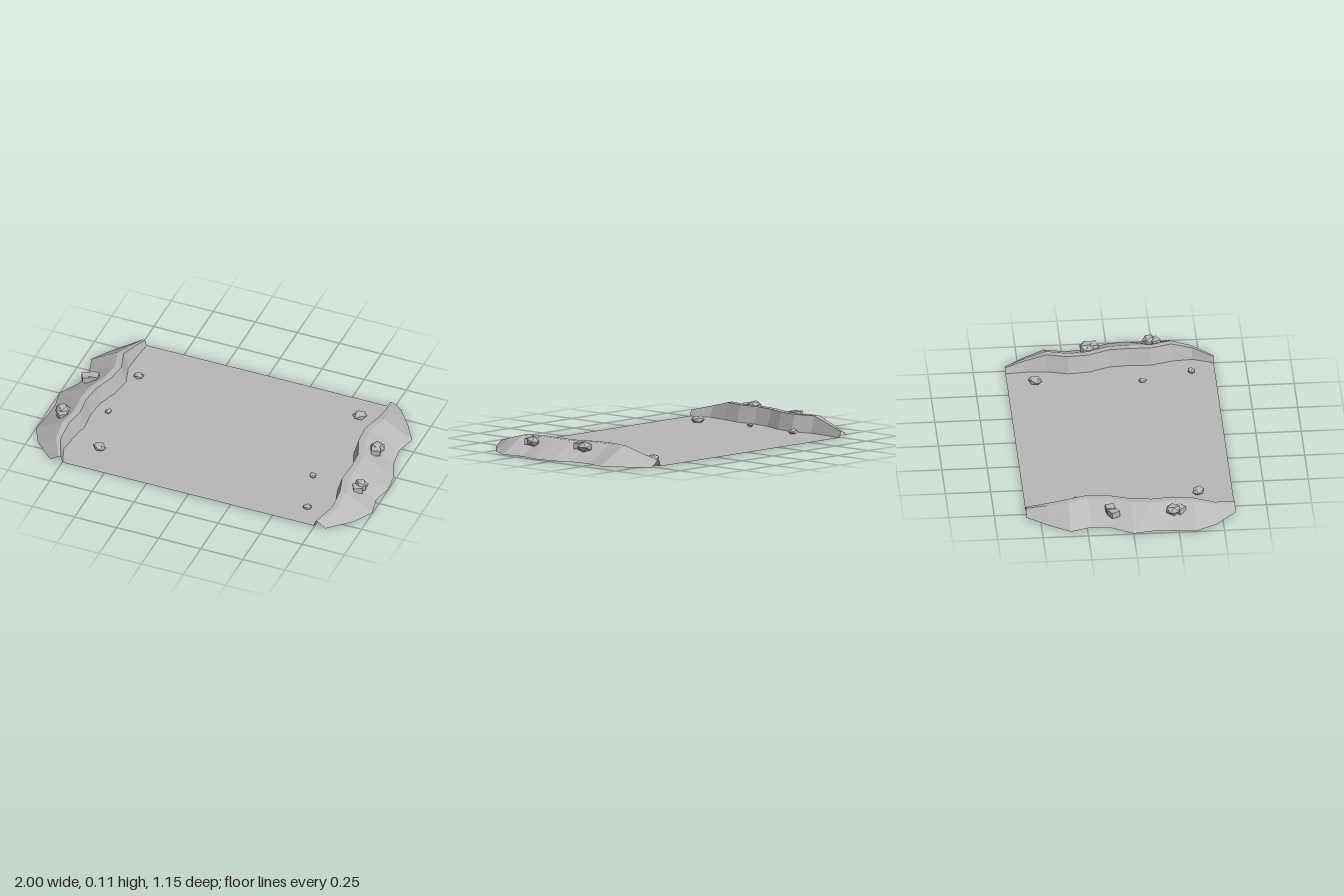
import * as THREE from 'three';

const stone = new THREE.MeshStandardMaterial({ color: 0xb8b8b8, flatShading: true, side: THREE.DoubleSide });
stone.name = 'grey stone';

const BASE = 0.007, HALF = 0.575, STEPS = 10;
const zAt = (i) => -HALF + (2 * HALF * i) / STEPS;

// bank foot lines from back to front: inner (road side) and outer
const rightBank = {
  inner: [-0.72, -0.73, -0.735, -0.70, -0.715, -0.755, -0.768, -0.755, -0.775, -0.787, -0.745],
  outer: [-0.79, -0.88, -0.955, -0.92, -0.935, -1.0, -0.982, -0.985, -1.0, -0.94, -0.82],
};
const leftBank = {
  inner: [0.717, 0.725, 0.72, 0.69, 0.70, 0.745, 0.752, 0.745, 0.78, 0.788, 0.745],
  outer: [0.79, 0.88, 0.952, 0.925, 0.94, 0.987, 1.0, 0.975, 1.0, 0.935, 0.815],
};

// surface through rows of cross-section points
function loft(rows, flip) {
  const n = rows[0].length, index = [];
  for (let i = 0; i < rows.length - 1; i++) {
    for (let j = 0; j < n - 1; j++) {
      const a = i * n + j, b = a + 1, c = a + n, d = c + 1;
      if (flip) index.push(a, b, c, b, d, c);
      else index.push(a, c, b, b, c, d);
    }
  }
  const g = new THREE.BufferGeometry();
  g.setAttribute('position', new THREE.Float32BufferAttribute(rows.flat(2), 3));
  g.setIndex(index);
  const flat = g.toNonIndexed();
  flat.computeVertexNormals();
  return flat;
}

export function createModel() {
  const model = new THREE.Group();
  const add = (name, geometry) => {
    const mesh = new THREE.Mesh(geometry, stone);
    mesh.name = name;
    model.add(mesh);
    return mesh;
  };

  // flat bed between the wavy bank feet
  add('roadBed', loft(rightBank.inner.map((x, i) => [
    [x, BASE, zAt(i)], [leftBank.inner[i], BASE, zAt(i)],
  ])));

  // open banks: steep inner wall, narrow crest, broad outer slope
  const bank = (name, { inner, outer }, s) => add(name, loft(inner.map((x, i) => {
    const z = zAt(i);
    const h = 0.1 - 0.06 * Math.max(0, (Math.abs(z) - 0.345) / 0.23);
    const k = s * h / 0.1;
    return [[x, BASE, z], [x + 0.028 * k, h, z], [x + 0.064 * k, h, z], [outer[i], BASE, z]];
  }), s < 0));
  bank('rightBank', rightBank, -1);
  bank('leftBank', leftBank, 1);

  // faceted stones: x, y, z, half sizes, turn
  const rock = (name, x, y, z, rx, ry, rz, turn) => {
    const m = add(name, new THREE.IcosahedronGeometry(1, 0));
    m.position.set(x, y, z);
    m.scale.set(rx, ry, rz);
    m.rotation.y = turn;
  };
  [
    [-0.65, -0.29, 0.03], [-0.685, 0.065, 0.021], [-0.605, 0.385, 0.039],
    [0.61, -0.42, 0.041], [0.575, 0.17, 0.023], [0.655, 0.445, 0.026],
  ].forEach(([x, z, r], i) =>
    rock('pebble', x, 0.01 + r * 0.33, z, r * 1.05, r * 0.58, r * 0.85, i * 1.3));
  rock('boulder', 0.84, 0.082, -0.118, 0.045, 0.032, 0.046, 0.4);
  rock('boulder', 0.885, 0.082, 0.228, 0.04, 0.032, 0.042, 1.1);
  rock('boulder', -0.89, 0.084, 0.225, 0.044, 0.031, 0.044, 0.2);

  // blocky stones half sunk in the slopes
  [
    [-0.845, 0.077, -0.118, 0.1], [-0.883, 0.072, -0.102, 0.5],
    [-0.878, 0.078, 0.262, 0.75], [0.876, 0.078, 0.258, 0.5], [0.845, 0.085, -0.085, 0.3],
  ].forEach(([x, y, z, turn]) => {
    const m = add('blockStone', new THREE.BoxGeometry(0.05, 0.034, 0.05));
    m.position.set(x, y, z);
    m.rotation.y = turn;
  });

  return model;
}
